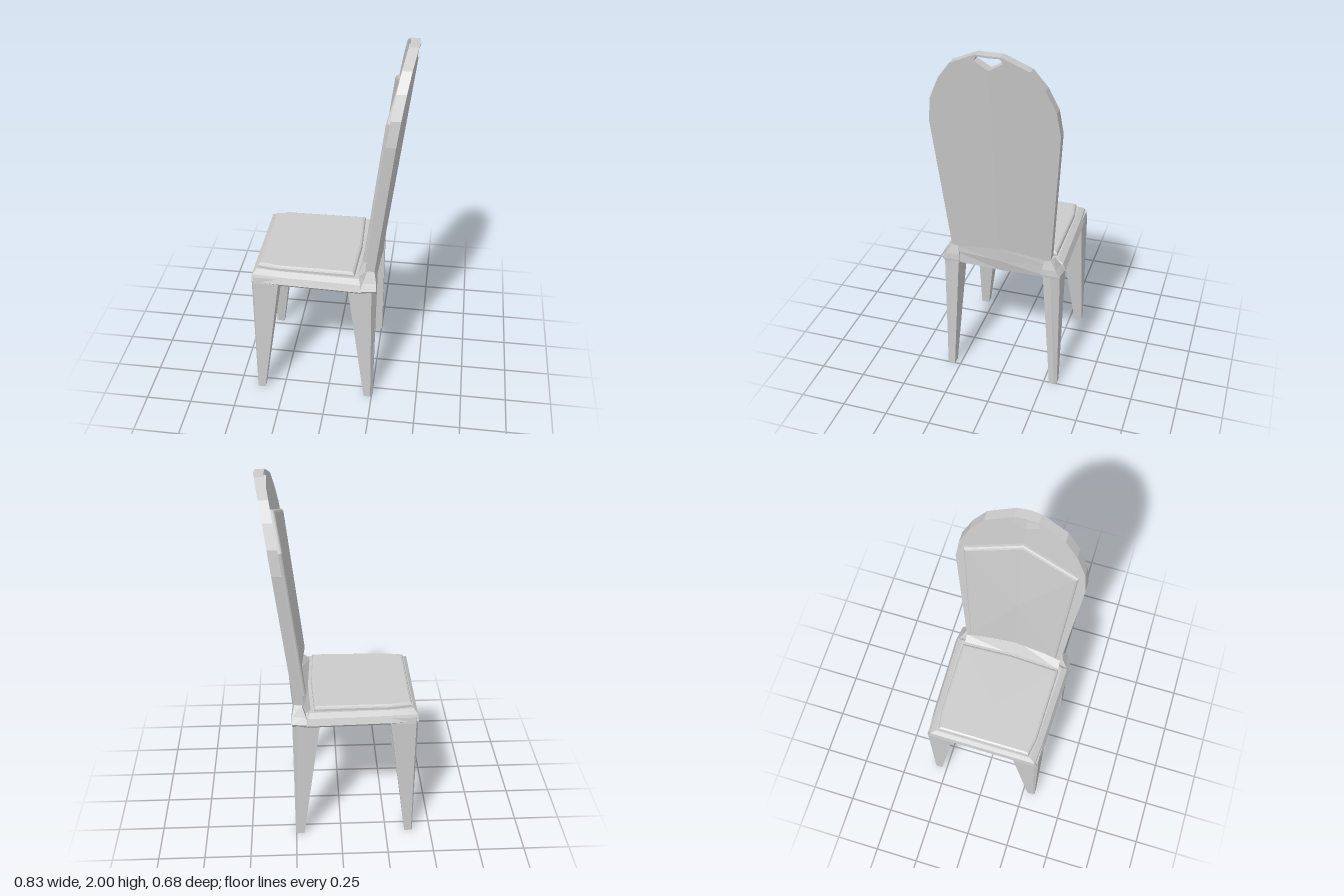
import * as THREE from 'three';

const grey = new THREE.MeshStandardMaterial({ color: 0xcccccc, flatShading: true, side: THREE.DoubleSide });

function add(group, name, geometry) {
  const mesh = new THREE.Mesh(geometry, grey);
  mesh.name = name;
  group.add(mesh);
}

// Joins equal-length closed rings of [x, y, z] and closes both ends with fans.
function loft(rings) {
  const n = rings[0].length, pos = rings.flat(2), idx = [];
  rings.slice(1).forEach((_, r) => {
    for (let i = 0; i < n; i++) {
      const a = r * n + i, b = r * n + (i + 1) % n;
      idx.push(a, b, a + n, b, b + n, a + n);
    }
  });
  [0, rings.length - 1].forEach((r) => {
    const c = pos.length / 3;
    for (let k = 0; k < 3; k++) pos.push(rings[r].reduce((s, p) => s + p[k], 0) / n);
    for (let i = 0; i < n; i++) {
      const a = r * n + i, b = r * n + (i + 1) % n;
      if (r) idx.push(a, b, c); else idx.push(b, a, c);
    }
  });
  // Turn the faces outward whichever way the rings run.
  let volume = 0;
  const v = (i) => new THREE.Vector3(...pos.slice(i * 3, i * 3 + 3));
  for (let i = 0; i < idx.length; i += 3) volume += v(idx[i]).dot(v(idx[i + 1]).cross(v(idx[i + 2])));
  if (volume < 0) idx.reverse();
  let g = new THREE.BufferGeometry();
  g.setAttribute('position', new THREE.Float32BufferAttribute(pos, 3));
  g.setIndex(idx);
  g = g.toNonIndexed();
  g.computeVertexNormals();
  return g;
}

// Mirrors a half outline of [u, w] into a full loop about w = 0.
const mirrorLoop = (half) => [
  ...half, ...half.slice().reverse().filter((p) => p[1] !== 0).map(([u, w]) => [u, -w]),
];

// Rear surface of the leaning backrest, folded into a shallow V.
const backX = (y, z) => 0.275 + 0.125 * (y - 0.87) - 0.09 * Math.abs(z);
const THICK = 0.05;

export function createModel() {
  const chair = new THREE.Group();
  chair.name = 'diningChair';

  // Seat slab with rounded front and side edges
  const seatRing = (y, front, side, back) => mirrorLoop([
    [front, 0], [front, 0.315 - side], [-0.27, 0.325 - side],
    [0.18 - side * 0.3, 0.338 - side], [0.23 - back, 0.27 - side * 0.5], [0.25 - back, 0],
  ]).map(([x, z]) => [x, y, z]);
  add(chair, 'seat', loft([
    seatRing(0.718, -0.405, 0.015, 0), seatRing(0.735, -0.41, 0, 0),
    seatRing(0.772, -0.405, 0.015, 0.03), seatRing(0.79, -0.385, 0.045, 0.06),
  ]));

  // Seat cushion
  const padRing = (y, inset) => mirrorLoop([
    [-0.378 + inset, 0], [-0.378 + inset, 0.258 - inset], [-0.27, 0.275 - inset],
    [0.14 - inset, 0.28 - inset], [0.152 - inset, 0],
  ]).map(([x, z]) => [x, y, z]);
  add(chair, 'seatCushion', loft([
    padRing(0.785, 0), padRing(0.803, 0), padRing(0.811, 0.004), padRing(0.816, 0.013),
  ]));

  // Backrest halves, meeting on the fold, with the hand hole near the top
  const outline = [
    [0, 0.85], [0.272, 0.81], [0.332, 1.6], [0.314, 1.73], [0.262, 1.845], [0.195, 1.935],
    [0.06, 2], [0, 2], [0, 1.99], [0.058, 1.99], [0.07, 1.965], [0, 1.925],
  ];
  for (const s of [-1, 1]) {
    const shape = new THREE.Shape(outline.map(([z, y]) => new THREE.Vector2(s * z, y)));
    const g = new THREE.ExtrudeGeometry(shape, { depth: THICK, bevelEnabled: false });
    const p = g.attributes.position;
    for (let i = 0; i < p.count; i++) {
      const z = -p.getX(i), y = p.getY(i);
      p.setXYZ(i, backX(y, z) - THICK + p.getZ(i), y, z);
    }
    g.computeVertexNormals();
    add(chair, s < 0 ? 'backrestLeft' : 'backrestRight', g);
  }

  // Back cushion with a peaked top
  const backPad = (out, inset) => mirrorLoop([
    [0.87 + inset, 0], [0.87 + inset, 0.25 - inset], [1.7 - inset * 0.6, 0.288 - inset], [1.81 - inset, 0],
  ]).map(([y, z]) => [backX(y, z) - THICK - out, y, z]);
  add(chair, 'backCushion', loft([
    backPad(-0.01, 0), backPad(0.012, 0), backPad(0.019, 0.005), backPad(0.023, 0.014),
  ]));

  // Flared base joining the backrest to the seat
  const baseRing = (z, top) => {
    const d = -0.09 * Math.abs(z), x = backX(top, z);
    return [
      [x - THICK, top], [x, top], [0.27 + d, 0.79], [0.255 + d * 0.4, 0.72],
      [0.16 + d * 0.5, 0.73], [0.165 + d * 0.5, 0.785],
    ].map(([px, y]) => [px, y, z]);
  };
  add(chair, 'backrestBase', loft([baseRing(-0.275, 0.82), baseRing(0, 0.87), baseRing(0.275, 0.82)]));

  // Legs and rear corner gussets, mirrored across z
  for (const s of [-1, 1]) {
    const side = s > 0 ? 'Right' : 'Left';

    // Outer corner chamfered; x0 is the outer end, x1 the inner end
    const legRing = (y, x0, x1, z0, z1, cx, cz) => [
      [x0, z0], [x0, z1 - cz], [x0 + Math.sign(x1 - x0) * cx, z1], [x1, z1], [x1, z0],
    ].map(([x, z]) => [x, y, s * z]);
    add(chair, 'frontLeg' + side, loft([
      legRing(0, -0.4, -0.357, 0.278, 0.322, 0.006, 0.006),
      legRing(0.725, -0.408, -0.262, 0.18, 0.32, 0.012, 0.02),
      legRing(0.76, -0.406, -0.262, 0.18, 0.315, 0.015, 0.025),
    ]));
    add(chair, 'rearLeg' + side, loft([
      legRing(0, 0.254, 0.206, 0.282, 0.325, 0.01, 0.015),
      legRing(0.73, 0.258, 0.112, 0.235, 0.322, 0.022, 0.045),
    ]));

    // Corner gusset rising from the rear leg to the backrest edge
    const gusset = (y, x0, x1, z0, z1) => [
      [x0, z0], [x0, z1], [x1, z1 - 0.012], [x1, z0],
    ].map(([x, z]) => [x, y, s * z]);
    add(chair, 'rearCorner' + side, loft([
      gusset(0.72, 0.17, 0.257, 0.23, 0.325), gusset(0.74, 0.17, 0.26, 0.23, 0.337),
      gusset(0.775, 0.185, 0.258, 0.23, 0.315), gusset(0.83, 0.205, 0.245, 0.24, 0.285),
    ]));
  }
  return chair;
}
